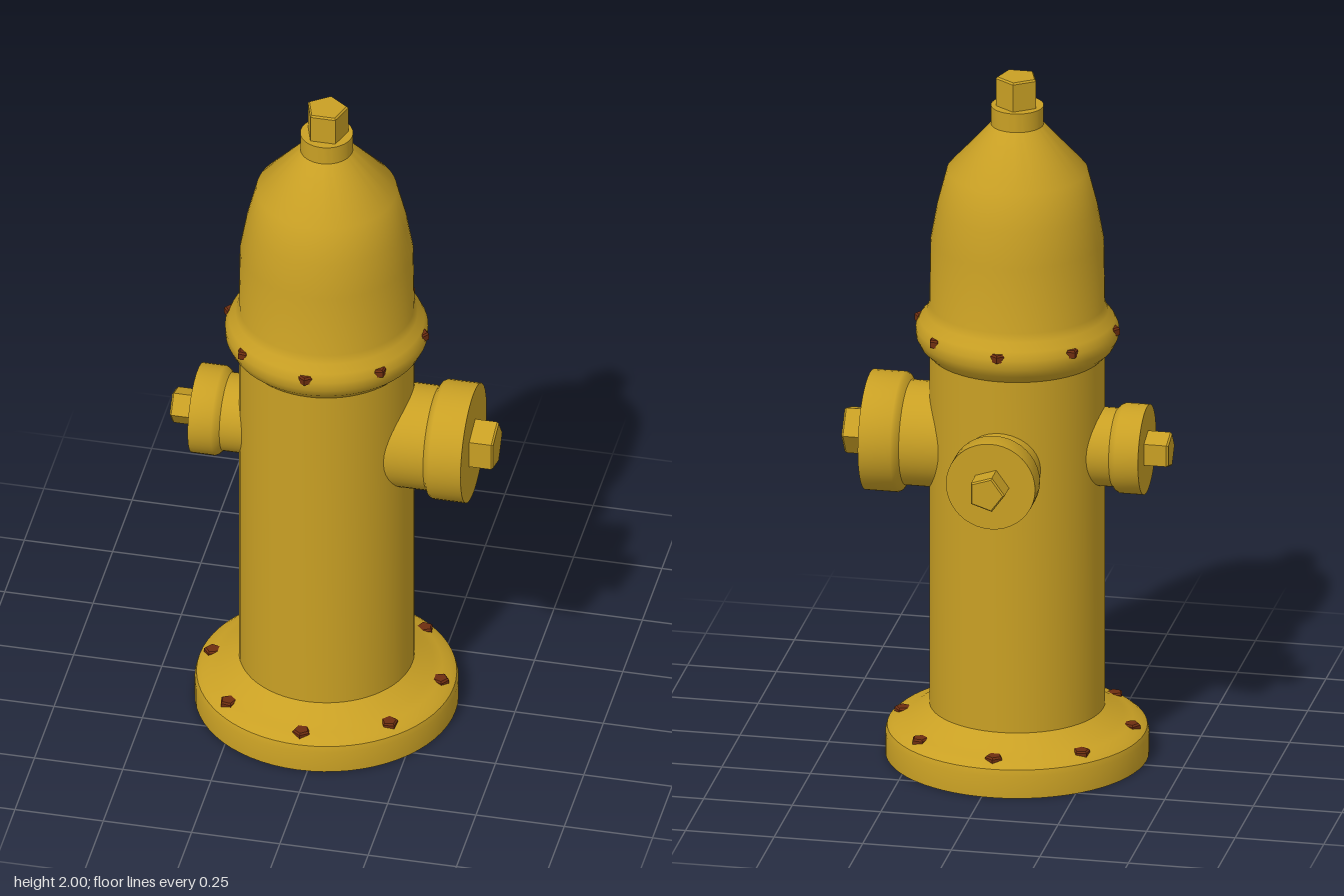
import * as THREE from 'three';
import { toCreasedNormals } from 'three/addons/utils/BufferGeometryUtils.js';

const AXIS_X = -0.026, AXIS_Z = 0.033;

// Closed turned solid from [radius, height] pairs, with sharp edges kept
function turned(profile, segments, crease = 0.6) {
  const points = profile.map(([r, y]) => new THREE.Vector2(r, y));
  return toCreasedNormals(new THREE.LatheGeometry(points, segments), crease);
}

// Five-sided nut standing on y = 0, with a slightly bevelled end
function nutGeometry(r, h) {
  return turned([[0, 0], [r, 0], [r, h - 0.005], [r - 0.005, h], [0, h]], 5, 0.3);
}

export function createModel() {
  const yellow = new THREE.MeshStandardMaterial({ color: 0xc9a024 });
  yellow.name = 'yellow paint';
  const rust = new THREE.MeshStandardMaterial({ color: 0x6e2e10 });
  rust.name = 'rusty bolts';

  const model = new THREE.Group();
  model.name = 'hydrant';
  model.position.set(AXIS_X, 0, AXIS_Z);

  function add(name, geometry, material, parent = model) {
    const mesh = new THREE.Mesh(geometry, material);
    mesh.name = name;
    parent.add(mesh);
    return mesh;
  }

  // Foot flange and barrel
  add('barrel', turned([
    [0, 0], [0.365, 0], [0.365, 0.065], [0.36, 0.082], [0.345, 0.094],
    [0.32, 0.103], [0.295, 0.114], [0.243, 0.147], [0.243, 1.2], [0, 1.2],
  ], 64), yellow);

  // Bolted collar and bonnet
  add('bonnet', turned([
    [0, 1.185], [0.243, 1.185], [0.268, 1.21], [0.28, 1.235], [0.281, 1.262],
    [0.27, 1.285], [0.252, 1.307], [0.243, 1.33], [0.24, 1.52], [0.222, 1.62],
    [0.195, 1.725], [0.073, 1.86], [0.073, 1.915], [0, 1.915],
  ], 64), yellow);

  // Operating nut on top
  const topNut = add('topNut', nutGeometry(0.06, 0.085), yellow);
  topNut.position.y = 1.915;
  topNut.rotation.y = Math.PI;

  // Hose outlets: neck, cap and nut, built along +x and turned about the axis
  const outlets = [
    { name: 'leftOutlet', turn: 0, neck: 0.147, cap: 0.168, start: 0.305, end: 0.416, nut: 0.07, nutLength: 0.067 },
    { name: 'backOutlet', turn: Math.PI / 2, neck: 0.11, cap: 0.126, start: 0.283, end: 0.369, nut: 0.0525, nutLength: 0.066 },
    { name: 'rightOutlet', turn: Math.PI, neck: 0.11, cap: 0.126, start: 0.28, end: 0.366, nut: 0.0525, nutLength: 0.068 },
  ];
  for (const o of outlets) {
    const group = new THREE.Group();
    group.name = o.name;
    group.position.y = 0.922;
    group.rotation.y = o.turn;
    model.add(group);
    const body = turned([
      [0, 0.1], [o.neck, 0.1], [o.neck, o.start], [o.cap - 0.005, o.start + 0.01],
      [o.cap, o.start + 0.02], [o.cap, o.end], [0, o.end],
    ], 40).rotateZ(-Math.PI / 2);
    add('outletCap', body, yellow, group);
    const nut = nutGeometry(o.nut, o.nutLength).rotateY(Math.PI).rotateZ(-Math.PI / 2);
    add('outletNut', nut, yellow, group).position.x = o.end;
  }

  // Rings of eight bolts on the foot and the collar
  function boltRing(name, radius, y, size, height) {
    const geometry = nutGeometry(size, height);
    for (let i = 0; i < 8; i++) {
      const a = (i * Math.PI) / 4;
      const bolt = add(name, geometry, rust);
      bolt.position.set(Math.sin(a) * radius, y, Math.cos(a) * radius);
      bolt.rotation.y = a;
    }
  }
  boltRing('footBolt', 0.322, 0.085, 0.025, 0.024);
  boltRing('collarBolt', 0.27, 1.256, 0.02, 0.022);

  const root = new THREE.Group();
  root.name = 'fireHydrant';
  root.add(model);
  return root;
}
